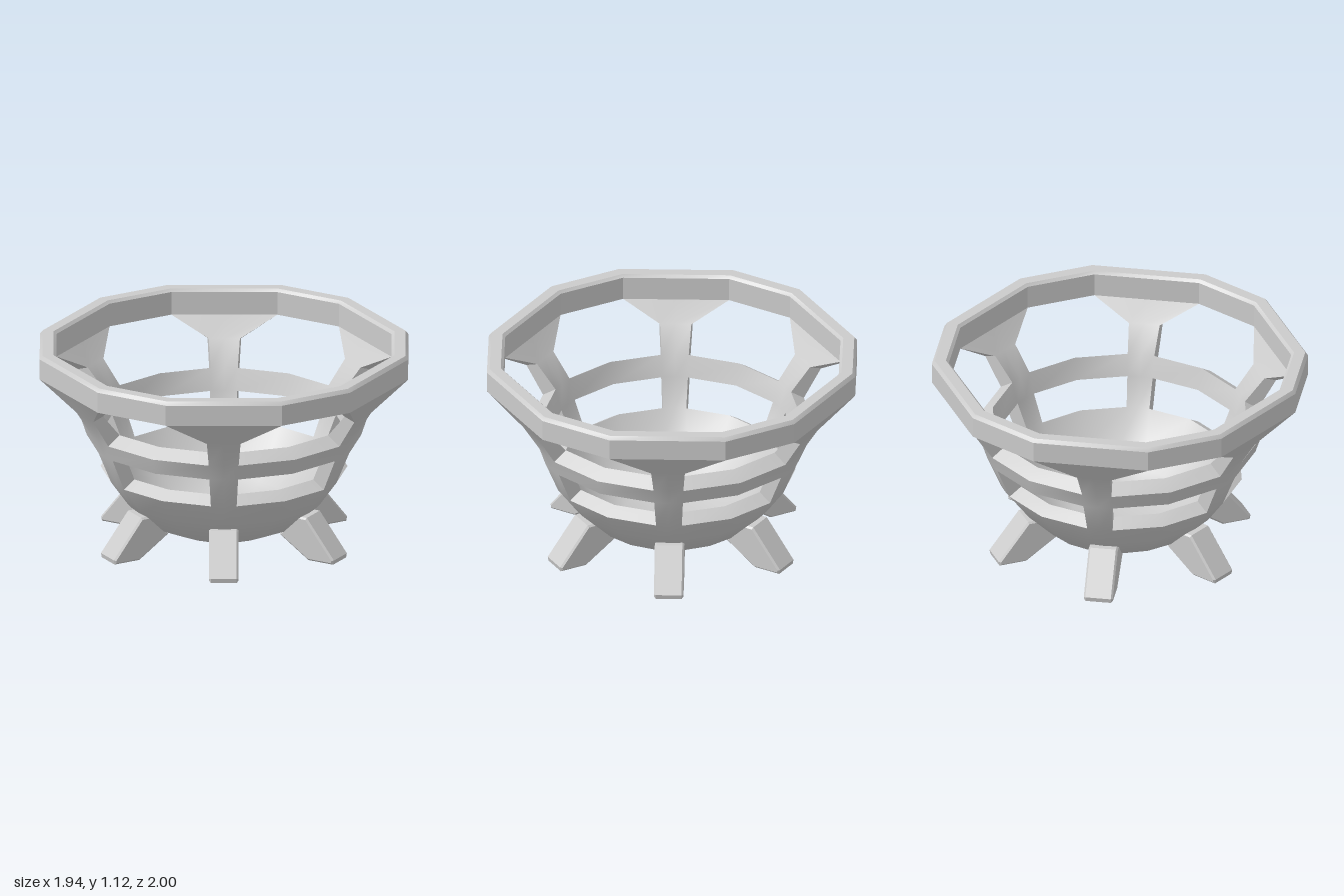
import * as THREE from 'three';
import { toCreasedNormals } from 'three/addons/utils/BufferGeometryUtils.js';

const SECTORS = 6;
const DEG = Math.PI / 180;

// Rings of the shell, bottom to top:
// outer radius, outer y, inner radius, inner y, half angle of a window in degrees
const RINGS = [
  [0.00, 0.065, 0.00, 0.14, 15],
  [0.28, 0.075, 0.26, 0.15, 16],
  [0.43, 0.14, 0.38, 0.21, 19],
  [0.56, 0.27, 0.49, 0.32, 22],
  [0.67, 0.42, 0.60, 0.465, 24],
  [0.745, 0.60, 0.665, 0.62, 24],
  [0.775, 0.69, 0.70, 0.74, 24],
  [0.875, 0.85, 0.81, 0.87, 24],
  [1.00, 0.99, 0.91, 0.98, 12],
  [1.00, 1.105, 0.91, 1.11, 12],
  [0.985, 1.125, 0.925, 1.125, 12],
];
const RIM_START = 8;

// Rows of cells between rings that make up each named part
const PARTS = [
  { name: 'lowerBowl', from: 0, to: 4 },
  { name: 'lowerPosts', from: 4, to: 5, open: true },
  { name: 'middleBand', from: 5, to: 6 },
  { name: 'upperPosts', from: 6, to: 8, open: true },
  { name: 'rim', from: 8, to: 10 },
];

// Four columns per sector: post centre, window edge, window centre, window edge
const COLUMNS = SECTORS * 4;
// The rim is straight across the windows and across the post tops
const RIM_SCALE = [Math.cos(18 * DEG), 1, Math.cos(12 * DEG), 1].map((s) => s * 1.022);

function shellPoint(row, col, inner) {
  const [ro, yo, ri, yi, w] = RINGS[row];
  const k = col % 4;
  const angle = (Math.floor(col / 4) * 60 + [-30, -w, 0, w][k]) * DEG;
  const r = (inner ? ri : ro) * (row >= RIM_START ? RIM_SCALE[k] : 1);
  return [r * Math.sin(angle), inner ? yi : yo, r * Math.cos(angle)];
}

function isSolid(row, col) {
  const part = PARTS.find((p) => row >= p.from && row < p.to);
  if (!part) return row < 0; // below the base there is no edge to close
  const k = (col + COLUMNS) % 4;
  return !(part.open && (k === 1 || k === 2));
}

// Thick shell with windows, shaded as one and then split into named meshes
function buildShell(material) {
  const positions = [];
  const quad = (a, b, c, d) => {
    for (const tri of [[a, b, c], [a, c, d]]) {
      // skip the collapsed triangles at the centre of the base
      if (tri.some((p, i) => p.every((v, n) => Math.abs(v - tri[(i + 1) % 3][n]) < 1e-6))) continue;
      positions.push(...tri.flat());
    }
  };

  const ranges = PARTS.map((part) => {
    const start = positions.length;
    for (let row = part.from; row < part.to; row++) {
      for (let col = 0; col < COLUMNS; col++) {
        if (!isSolid(row, col)) continue;
        const corners = [[row, col], [row, col + 1], [row + 1, col + 1], [row + 1, col]];
        const outer = corners.map(([r, c]) => shellPoint(r, c, false));
        const inner = corners.map(([r, c]) => shellPoint(r, c, true));
        quad(...outer);
        quad(inner[3], inner[2], inner[1], inner[0]);
        // close the thickness wherever the neighbouring cell is open
        const neighbours = [[row - 1, col], [row, col + 1], [row + 1, col], [row, col - 1]];
        neighbours.forEach(([r, c], i) => {
          if (isSolid(r, c)) return;
          const j = (i + 1) % 4;
          quad(outer[j], outer[i], inner[i], inner[j]);
        });
      }
    }
    return [start, positions.length];
  });

  let whole = new THREE.BufferGeometry();
  whole.setAttribute('position', new THREE.Float32BufferAttribute(positions, 3));
  whole = toCreasedNormals(whole, 0.5);

  return PARTS.map((part, i) => {
    const geometry = new THREE.BufferGeometry();
    for (const key of ['position', 'normal']) {
      const values = whole.attributes[key].array.slice(...ranges[i]);
      geometry.setAttribute(key, new THREE.BufferAttribute(values, 3));
    }
    const mesh = new THREE.Mesh(geometry, material);
    mesh.name = part.name;
    return mesh;
  });
}

// Slanted foot: side outline given as radius and height, with bevelled edges
function buildLegGeometry() {
  const outline = [[0.57, 0], [0.725, 0], [0.73, 0.025], [0.56, 0.24], [0.49, 0.24], [0.39, 0.12]];
  const shape = new THREE.Shape(outline.map(([r, y]) => new THREE.Vector2(r, y)));
  const bevel = 0.01;
  const width = 0.16;
  const geometry = new THREE.ExtrudeGeometry(shape, {
    depth: width - 2 * bevel,
    bevelEnabled: true,
    bevelThickness: bevel,
    bevelSize: bevel,
    bevelOffset: -bevel,
    bevelSegments: 1,
  });
  geometry.translate(0, 0, -width / 2 + bevel);
  return geometry;
}

export function createModel() {
  const group = new THREE.Group();
  group.name = 'openBasket';
  const material = new THREE.MeshStandardMaterial({ color: 0xcccccc });

  group.add(...buildShell(material));

  // One leg under each post
  const legGeometry = buildLegGeometry();
  for (let i = 0; i < SECTORS; i++) {
    const leg = new THREE.Mesh(legGeometry, material);
    leg.name = `leg${i + 1}`;
    leg.rotation.y = i * 60 * DEG;
    group.add(leg);
  }
  return group;
}
